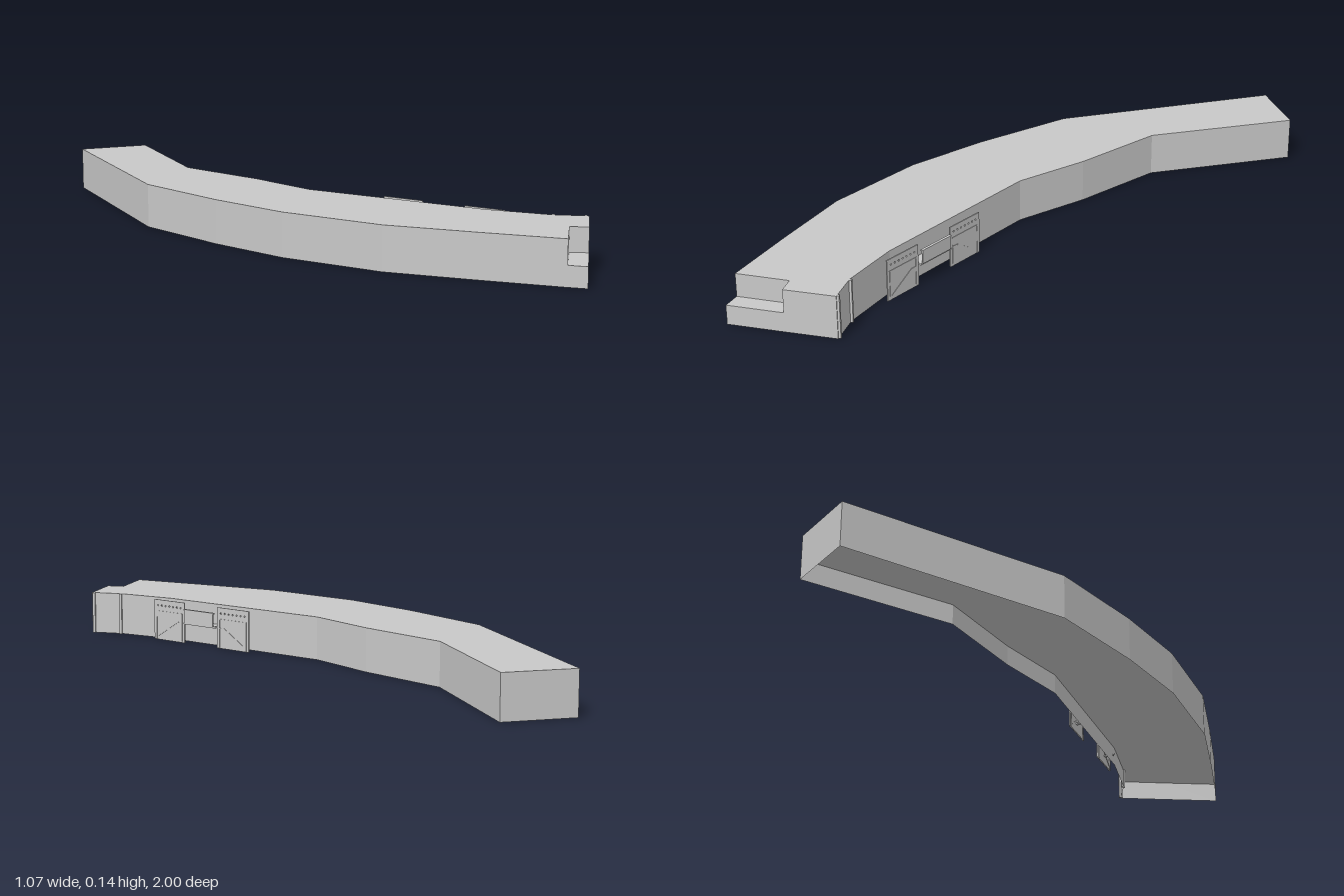
import * as THREE from 'three';

const HEIGHT = 0.138;
const FLOOR = 0.063;

export function createModel() {
  const group = new THREE.Group();
  const grey = new THREE.MeshStandardMaterial({ color: 0xc8c8c8, side: THREE.DoubleSide });

  const add = (parent, name, geo) => {
    const mesh = new THREE.Mesh(geo, grey);
    mesh.name = name;
    parent.add(mesh);
    return mesh;
  };

  // Thin horizontal sheet over a ground plan of [x, z] points
  const slab = (name, plan, y) => {
    const shape = new THREE.Shape(plan.map(([x, z]) => new THREE.Vector2(x, -z)));
    add(group, name, new THREE.ShapeGeometry(shape).rotateX(-Math.PI / 2).translate(0, y, 0));
  };

  // Thin upright sheet following a path of [x, z] points
  const wall = (name, path, y0, y1) => {
    const pos = [];
    for (let i = 0; i + 1 < path.length; i++) {
      const [ax, az] = path[i], [bx, bz] = path[i + 1];
      pos.push(ax, y0, az, bx, y0, bz, bx, y1, bz, ax, y0, az, bx, y1, bz, ax, y1, az);
    }
    const geo = new THREE.BufferGeometry();
    geo.setAttribute('position', new THREE.Float32BufferAttribute(pos, 3));
    geo.computeVertexNormals();
    add(group, name, geo);
  };

  // Long curved building, open underneath, with its front corner cut down to floor level
  const sides = [
    [-0.535, -1], [-0.518, -0.26], [-0.40, 0.06], [-0.28, 0.315], [-0.08, 0.597],
    [0.127, 0.79], [0.32, 0.963],
  ];
  const notch = [[0.32, 0.963], [0.404, 0.818], [0.453, 0.846]];
  const step = [[0.32, 0.963], [0.365, 1], [0.453, 0.846]];
  const inner = [
    [0.453, 0.846], [0.532, 0.705], [0.44, 0.65], [0.296, 0.506], [-0.074, 0.01],
    [-0.164, -0.225], [-0.305, -0.506], [-0.305, -1], [-0.535, -1],
  ];
  wall('outerWall', sides, 0, HEIGHT);
  wall('innerWall', inner, 0, HEIGHT);
  wall('notchWall', notch, FLOOR, HEIGHT);
  wall('stepWall', step, 0, FLOOR);
  slab('roof', [...sides, notch[1], ...inner.slice(0, -1)], HEIGHT);
  slab('floor', [...sides, step[1], ...inner.slice(0, -1)], FLOOR);

  const box = (parent, name, w, h, d, x, y, z) => {
    const mesh = add(parent, name, new THREE.BoxGeometry(w, h, d));
    mesh.position.set(x, y, z);
    return mesh;
  };

  // Slim pilasters on the short end bay
  for (const [x, z] of [[0.443, 0.65], [0.526, 0.7]]) {
    box(group, 'pilaster', 0.009, HEIGHT, 0.012, x, HEIGHT / 2, z).rotation.y = -0.51;
  }

  // Entrance screen: local x runs along the wall, local +z points into it
  const entrance = new THREE.Group();
  entrance.name = 'entrance';
  entrance.position.set(0.227, 0, 0.357);
  entrance.rotation.y = -0.944;
  group.add(entrance);

  for (const side of [-1, 1]) {
    // Thin screen panel with a row of small round holes
    const panel = new THREE.Shape();
    panel.moveTo(-0.068, 0).lineTo(0.068, 0).lineTo(0.068, 0.135).lineTo(-0.068, 0.135).closePath();
    for (let i = 0; i < 7; i++) {
      const hole = new THREE.Path();
      hole.absarc((i - 3) * 0.017, 0.116, 0.003, 0, Math.PI * 2, true);
      panel.holes.push(hole);
    }
    const geo = new THREE.ExtrudeGeometry(panel, { depth: 0.004, bevelEnabled: false, curveSegments: 4 });
    add(entrance, 'screenPanel', geo).position.set(side * 0.14, 0, -0.002);

    // Raised frame, sloping rail and short ties behind the panel
    box(entrance, 'screenRail', 0.118, 0.003, 0.007, side * 0.14, 0.096, 0);
    for (const x of [0.083, 0.197]) box(entrance, 'screenPost', 0.003, 0.096, 0.007, side * x, 0.048, 0);
    box(entrance, 'slopingRail', 0.1, 0.003, 0.007, side * 0.148, 0.039, 0).rotation.z = -side * 0.55;
    box(entrance, 'levelRail', 0.026, 0.003, 0.007, side * 0.094, 0.066, 0);
    for (const y of [0.03, 0.09]) box(entrance, 'wallTie', 0.012, 0.004, 0.034, side * 0.145, y, 0.017);
  }

  // Middle landing with front parapet
  box(entrance, 'landing', 0.138, 0.006, 0.05, 0, 0.068, 0.016);
  box(entrance, 'parapet', 0.125, 0.045, 0.005, 0, 0.0925, -0.01);
  box(entrance, 'parapetCap', 0.13, 0.004, 0.009, 0, 0.114, -0.01);

  return group;
}
